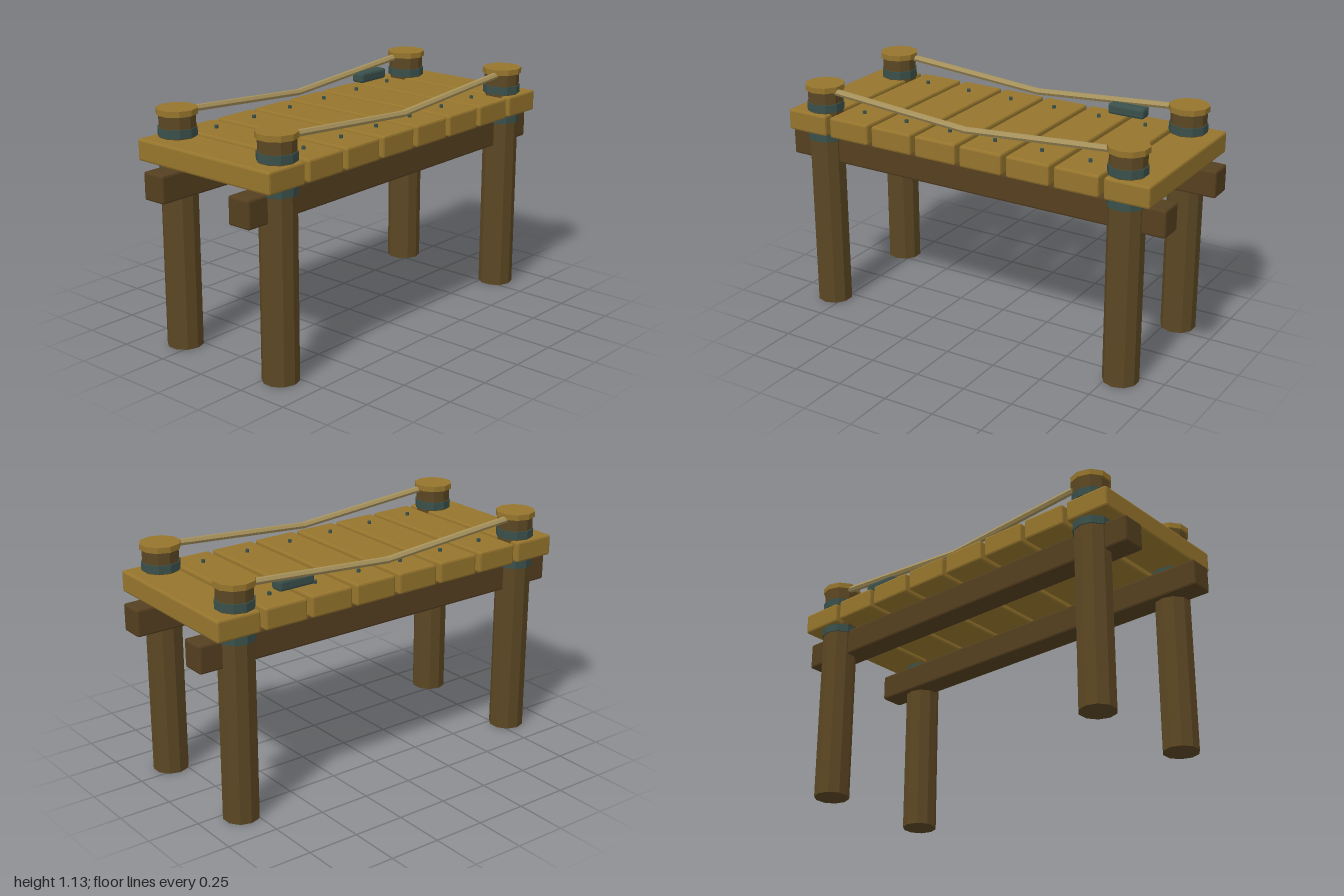
import * as THREE from 'three';
import { RoundedBoxGeometry } from 'three/addons/geometries/RoundedBoxGeometry.js';

const flat = (name, color) => {
  const m = new THREE.MeshStandardMaterial({ color, flatShading: true });
  m.name = name;
  return m;
};

export function createModel() {
  const plankWood = flat('plank wood', 0x96752d);
  const postWood = flat('post wood', 0x5c4723);
  const beamWood = flat('beam wood', 0x553f20);
  const iron = flat('dark iron', 0x3a504b);
  const ropeFibre = flat('rope fibre', 0xa8935c);

  const model = new THREE.Group();
  model.name = 'dock';

  const add = (parent, name, geometry, material, x, y, z) => {
    const mesh = new THREE.Mesh(geometry, material);
    mesh.name = name;
    mesh.position.set(x, y, z);
    parent.add(mesh);
    return mesh;
  };
  // Box with chamfered edges
  const chamferBox = (w, h, d, r) => new RoundedBoxGeometry(w, h, d, 1, r);
  // Ten-sided drum between two heights
  const drum = (parent, name, r, y0, y1, material) =>
    add(parent, name, new THREE.CylinderGeometry(r, r, y1 - y0, 10), material, 0, (y0 + y1) / 2, 0);

  // Four posts with iron bands and caps
  for (const sx of [-1, 1]) for (const sz of [-1, 1]) {
    const post = new THREE.Group();
    post.name = 'post';
    post.position.set(sx * 0.807, 0, sz * 0.305);
    drum(post, 'postShaft', 0.085, 0, 1.105, postWood);
    drum(post, 'lowerBand', 0.0905, 0.857, 0.896, iron);
    drum(post, 'upperBand', 0.0905, 1.003, 1.042, iron);
    drum(post, 'postCap', 0.095, 1.101, 1.128, plankWood);
    model.add(post);
  }

  // Two long beams under the deck
  for (const sz of [-1, 1]) {
    add(model, 'beam', chamferBox(2, 0.132, 0.122, 0.01), beamWood, 0, 0.806, sz * 0.262);
  }

  // Deck planks, nailed between the posts
  const nail = new THREE.CylinderGeometry(0.009, 0.009, 0.03, 8);
  for (let i = 0; i < 8; i++) {
    const x = (i - 3.5) * 0.2425;
    add(model, 'plank', chamferBox(0.218, 0.102, 0.804, 0.01), plankWood, x, 0.947, 0);
    if (i === 0 || i === 7) continue;
    for (const sz of [-1, 1]) add(model, 'nail', nail, iron, x, 0.997, sz * 0.268);
  }

  // Sagging rope rails, two straight spans each
  const low = new THREE.Vector3(0, 1.046, 0);
  const up = new THREE.Vector3(0, 1, 0);
  for (const sz of [-1, 1]) for (const sx of [-1, 1]) {
    const end = new THREE.Vector3(sx * 0.74, 1.101, 0);
    const dir = end.clone().sub(low);
    const mid = low.clone().add(end).multiplyScalar(0.5);
    const geo = new THREE.CylinderGeometry(0.016, 0.016, dir.length() + 0.002, 6);
    const span = add(model, 'ropeSpan', geo, ropeFibre, mid.x, mid.y, sz * 0.324);
    span.quaternion.setFromUnitVectors(up, dir.normalize());
  }

  // Iron cleat beneath the back rope
  add(model, 'cleat', chamferBox(0.185, 0.052, 0.07, 0.012), iron, 0.502, 1.049, -0.3);

  return model;
}
